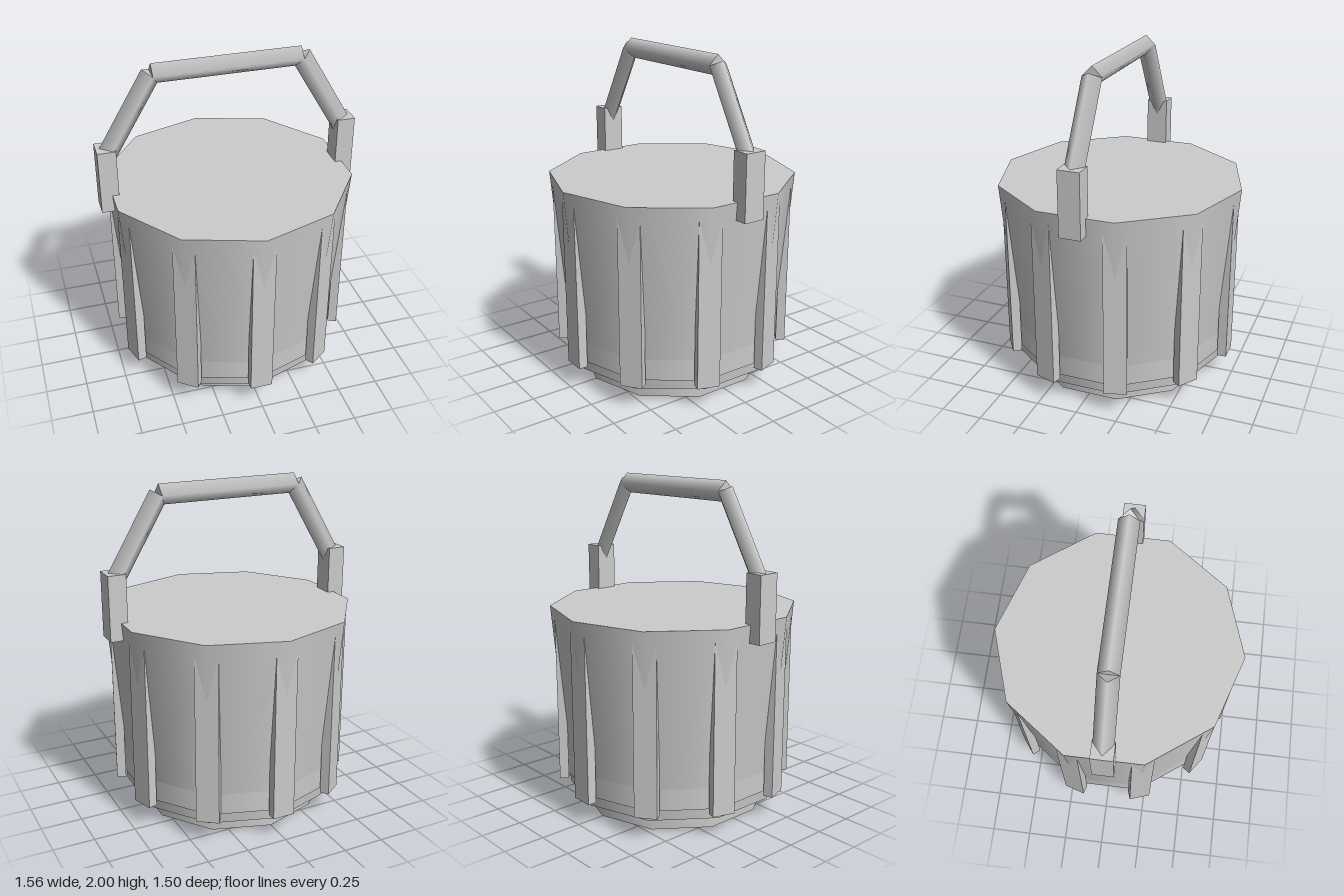
import * as THREE from 'three';

const material = new THREE.MeshStandardMaterial({ color: 0xcccccc });

function add(parent, name, geometry, x = 0, y = 0, z = 0) {
  const mesh = new THREE.Mesh(geometry, material);
  mesh.name = name;
  mesh.position.set(x, y, z);
  parent.add(mesh);
  return mesh;
}

// ten-sided drum between two heights
function addDrum(parent, name, rTop, rBottom, y0, y1) {
  return add(parent, name, new THREE.CylinderGeometry(rTop, rBottom, y1 - y0, 10), 0, (y0 + y1) / 2, 0);
}

// four-sided rod between two points in the XY plane
function addRod(parent, name, ax, ay, bx, by) {
  const dx = bx - ax, dy = by - ay;
  const rod = add(parent, name, new THREE.CylinderGeometry(0.06, 0.06, Math.hypot(dx, dy), 4), (ax + bx) / 2, (ay + by) / 2, 0);
  rod.rotation.z = Math.atan2(dy, dx) - Math.PI / 2;
  return rod;
}

export function createModel() {
  const model = new THREE.Group();
  model.name = 'bucket';

  // tapered body, lower band and foot
  addDrum(model, 'body', 0.75, 0.656, 0.095, 1.235);
  addDrum(model, 'lowerBand', 0.672, 0.672, 0.16, 0.4);
  addDrum(model, 'foot', 0.572, 0.572, 0, 0.1);

  // upright slats, one on each corner of the body
  const slats = new THREE.Group();
  slats.name = 'slats';
  model.add(slats);
  for (let i = 0; i < 10; i++) {
    const a = (i / 10) * Math.PI * 2;
    const r = 0.694;
    const slat = add(slats, 'slat', new THREE.BoxGeometry(0.135, 1.06, 0.056), Math.sin(a) * r, 0.67, Math.cos(a) * r);
    slat.rotation.y = a;
  }

  // carrying handle
  const handle = new THREE.Group();
  handle.name = 'handle';
  model.add(handle);
  addRod(handle, 'grip', -0.44, 1.94, 0.44, 1.94);
  for (const [side, s] of [['left', 1], ['right', -1]]) {
    add(handle, side + 'Bracket', new THREE.BoxGeometry(0.108, 0.39, 0.13), s * 0.727, 1.325, 0);
    addRod(handle, side + 'Arm', s * 0.727, 1.455, s * 0.44, 1.94);
  }
  return model;
}
